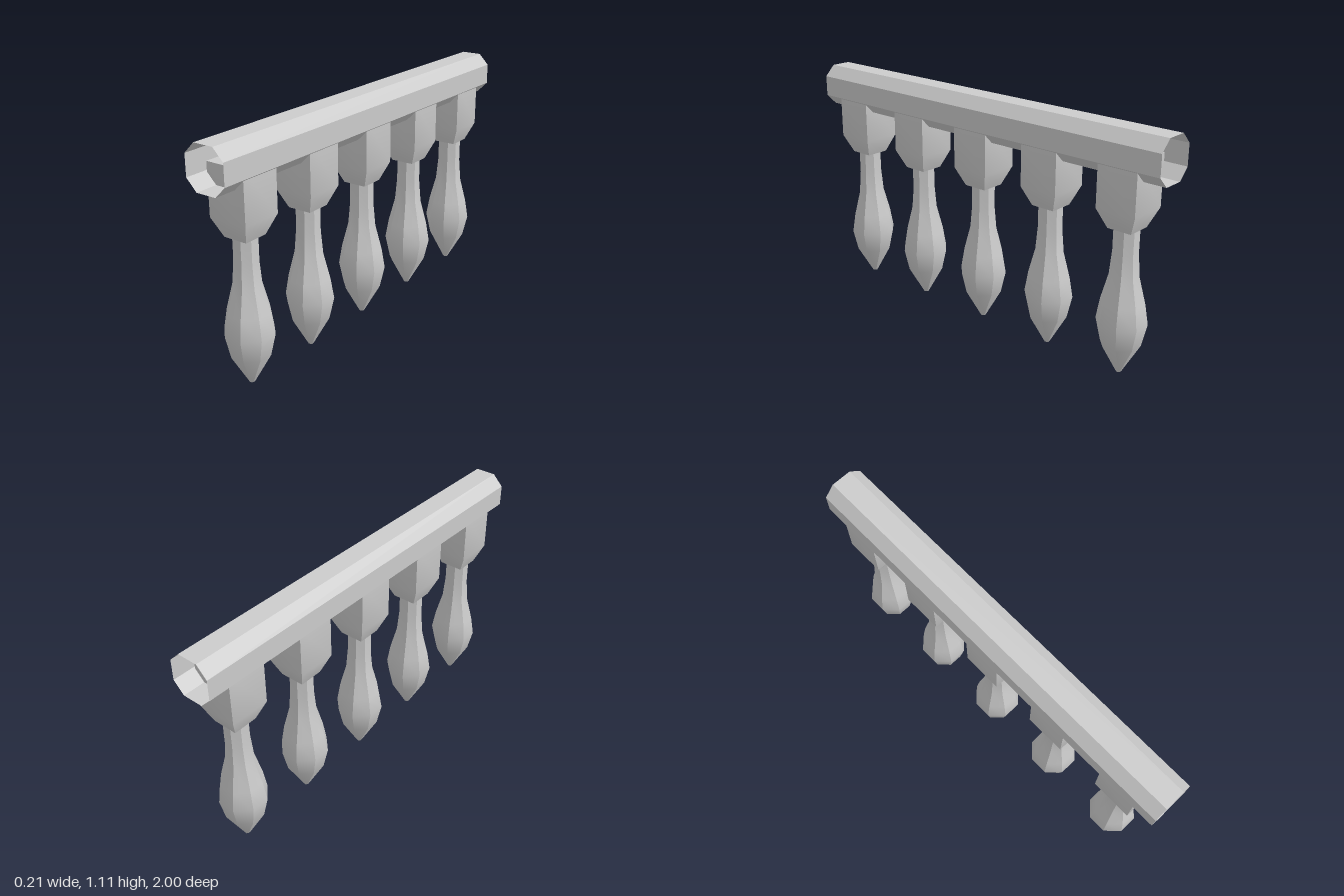
import * as THREE from 'three';
import { toCreasedNormals } from 'three/addons/utils/BufferGeometryUtils.js';

const grey = new THREE.MeshStandardMaterial({ color: 0xcccccc });
const greyOpen = new THREE.MeshStandardMaterial({ color: 0xcccccc, side: THREE.DoubleSide, flatShading: true });

// Regular prism-like solid from [half width across flats, y] pairs, flats facing x and z
function faceted(profile, sides) {
  const k = 1 / Math.cos(Math.PI / sides);
  const points = profile.map(([r, y]) => new THREE.Vector2(r * k, y));
  const lathe = new THREE.LatheGeometry(points, sides, Math.PI / sides);
  return toCreasedNormals(lathe, 0.6);
}

// Open-ended bar with a chamfered square section, running along z
function barGeometry(half, flat, length, y) {
  const ring = [[flat, half], [-flat, half], [-half, flat], [-half, -flat],
    [-flat, -half], [flat, -half], [half, -flat], [half, flat]];
  const positions = [];
  ring.forEach(([x0, y0], i) => {
    const [x1, y1] = ring[(i + 1) % ring.length];
    const a = [x0, y + y0, length / 2], b = [x1, y + y1, length / 2];
    const c = [x1, y + y1, -length / 2], d = [x0, y + y0, -length / 2];
    positions.push(...a, ...b, ...c, ...a, ...c, ...d);
  });
  const geometry = new THREE.BufferGeometry();
  geometry.setAttribute('position', new THREE.Float32BufferAttribute(positions, 3));
  // outward winding: reverse each triangle if it faces the axis
  geometry.computeVertexNormals();
  if (geometry.attributes.normal.getY(0) < 0) {
    const index = [];
    for (let i = 0; i < positions.length / 3; i += 3) index.push(i, i + 2, i + 1);
    geometry.setIndex(index);
    geometry.computeVertexNormals();
  }
  return geometry;
}

export function createModel() {
  const model = new THREE.Group();
  model.name = 'hangingPendantRail';

  const bar = new THREE.Mesh(barGeometry(0.1, 0.049, 2, 1.01), greyOpen);
  bar.name = 'bar';
  model.add(bar);

  // Square socket, tapering below
  const socketGeometry = faceted([
    [0, 0.677], [0.058, 0.677], [0.095, 0.765], [0.095, 1], [0, 1],
  ], 4);

  // Eight-sided drop: tip, bulb and slim neck
  const dropGeometry = faceted([
    [0, 0], [0.011, 0], [0.083, 0.14], [0.105, 0.245], [0.09, 0.34],
    [0.061, 0.46], [0.052, 0.57], [0.052, 0.68],
  ], 8);

  for (let i = -2; i <= 2; i++) {
    const pendant = new THREE.Group();
    pendant.name = 'pendant';
    const socket = new THREE.Mesh(socketGeometry, grey);
    socket.name = 'socket';
    const drop = new THREE.Mesh(dropGeometry, grey);
    drop.name = 'drop';
    pendant.add(socket, drop);
    pendant.position.z = i * 0.4;
    model.add(pendant);
  }
  return model;
}
